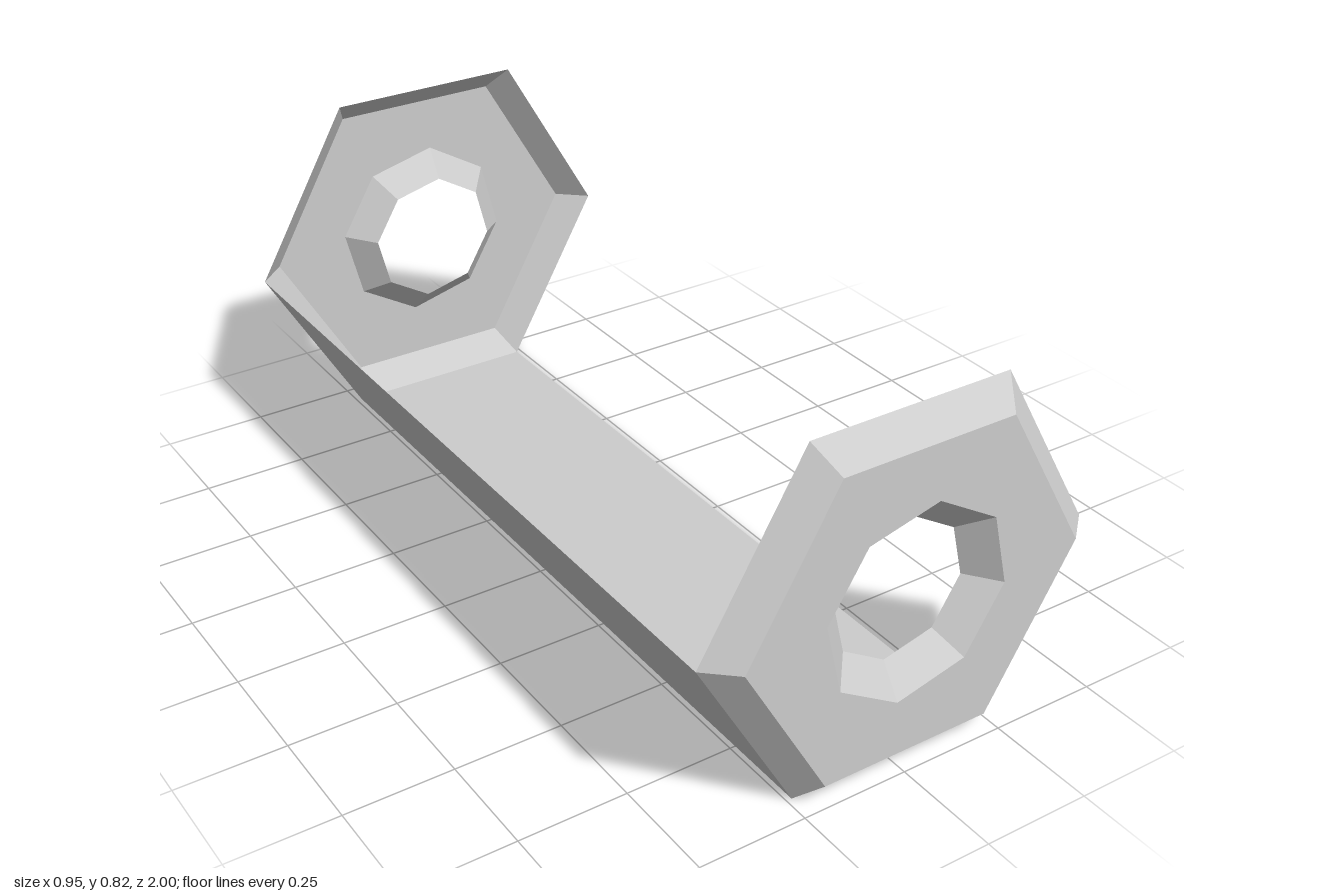
import * as THREE from 'three';

const CENTER_Y = 0.4115;   // axis height
const OUTER_R = 0.475;     // hexagon at the wide edge of the bevel
const FACE_R = 0.408;      // hexagon of the flat end face
const HOLE_R = 0.2245;     // octagon at the end face
const THROAT_R = 0.161;    // octagon at the inner end of the funnel
const HOLE_TURN = THREE.MathUtils.degToRad(-8.65);
const END_Z = 1;
const RIM_Z = 0.94;

export function createModel() {
  const grey = new THREE.MeshStandardMaterial({ color: 0xcccccc });
  grey.name = 'light grey';
  grey.flatShading = true;
  grey.side = THREE.DoubleSide;

  const model = new THREE.Group();
  model.name = 'hexagonalBracket';
  const body = new THREE.Group();
  body.name = 'body';
  body.position.y = CENTER_Y;
  model.add(body);

  const add = (parent, name, geometry) => {
    const flat = geometry.index ? geometry.toNonIndexed() : geometry;
    flat.computeVertexNormals();
    const mesh = new THREE.Mesh(flat, grey);
    mesh.name = name;
    parent.add(mesh);
    return mesh;
  };

  const polygon = (sides, radius, turn) =>
    Array.from({ length: sides }, (_, i) => {
      const a = turn + (i * 2 * Math.PI) / sides;
      return new THREE.Vector2(radius * Math.cos(a), radius * Math.sin(a));
    });

  // Open tapered band along z between the rim plane and the end plane
  const band = (sides, rimR, endR, turn, s) => {
    const [front, back] = s > 0 ? [endR, rimR] : [rimR, endR];
    const g = new THREE.CylinderGeometry(
      front, back, END_Z - RIM_Z, sides, 1, true, turn + Math.PI / 2);
    g.rotateX(Math.PI / 2);
    g.translate(0, 0, (s * (END_Z + RIM_Z)) / 2);
    return g;
  };

  // End caps: flat hexagon with octagonal hole, bevelled rim, funnel
  for (const s of [1, -1]) {
    const cap = new THREE.Group();
    cap.name = s > 0 ? 'frontCap' : 'backCap';
    body.add(cap);

    const shape = new THREE.Shape(polygon(6, FACE_R, 0));
    shape.holes.push(new THREE.Path(polygon(8, HOLE_R, HOLE_TURN)));
    const face = new THREE.ShapeGeometry(shape);
    if (s < 0) {
      // reverse the corners so the back face looks outwards
      const idx = Array.from(face.index.array).reverse();
      face.setIndex(idx);
    }
    face.translate(0, 0, s * END_Z);
    add(cap, 'endFace', face);
    add(cap, 'bevelRim', band(6, OUTER_R, FACE_R, 0, s));
    add(cap, 'holeFunnel', band(8, THROAT_R, HOLE_R, HOLE_TURN, s));
  }

  // Two thin panels joining the caps along neighbouring hexagon sides
  const apothem = OUTER_R * Math.cos(Math.PI / 6);
  for (const [name, angle] of [['bottomPanel', 0], ['sidePanel', -Math.PI / 3]]) {
    const g = new THREE.PlaneGeometry(OUTER_R, 2 * RIM_Z);
    g.rotateX(-Math.PI / 2);
    g.translate(0, -apothem, 0);
    g.rotateZ(angle);
    add(body, name, g);
  }

  return model;
}
